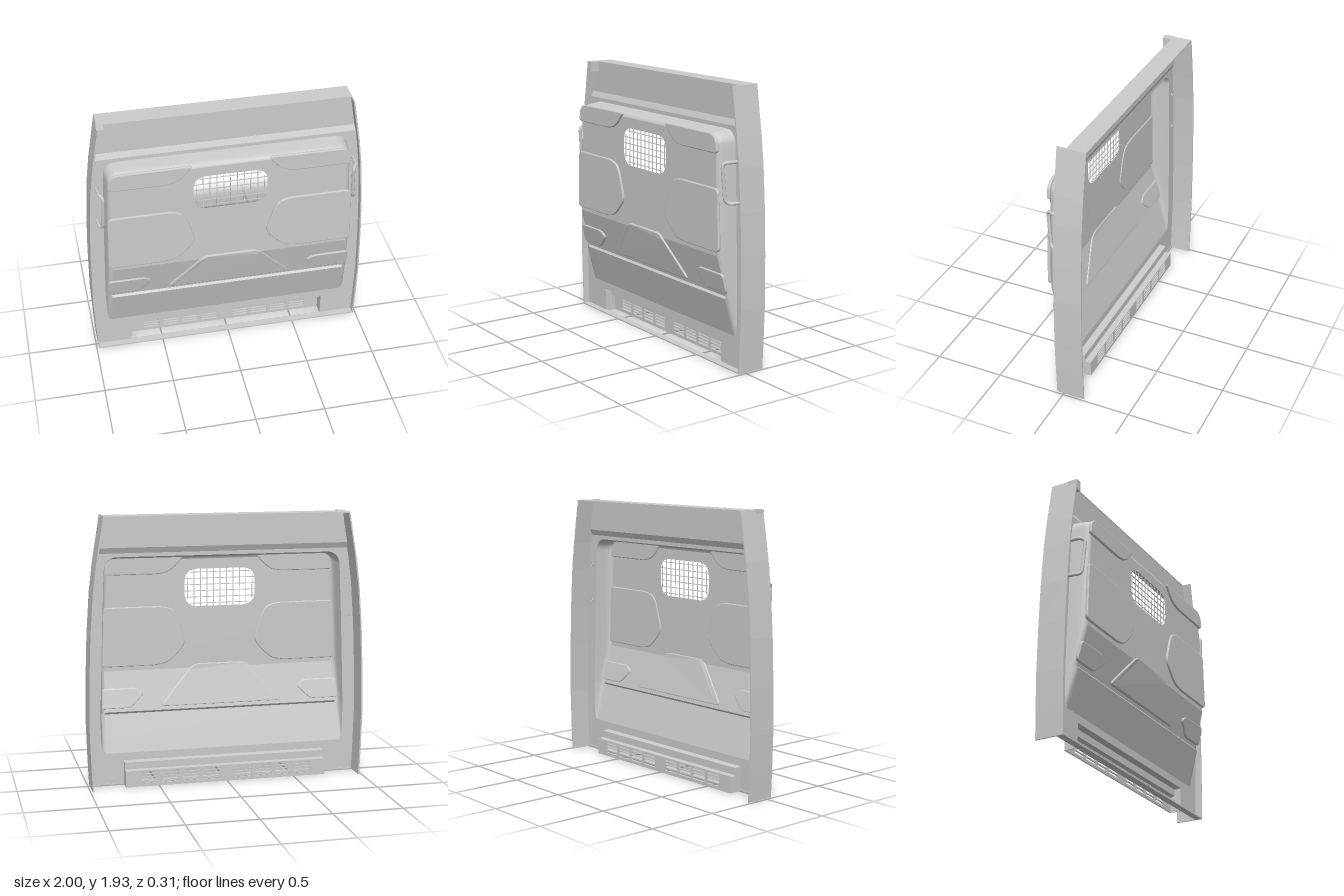
import * as THREE from 'three';

const mat = new THREE.MeshStandardMaterial({ color: 0xcccccc, side: THREE.DoubleSide });
const BASE = 0.005, FACE = 0.138, BACK = -0.153, FRONT = 0.052;

// Piecewise-linear lookup in a list of [y, value]
function lookup(table, y) {
  if (y <= table[0][0]) return table[0][1];
  for (let i = 1; i < table.length; i++) {
    const [y0, v0] = table[i - 1], [y1, v1] = table[i];
    if (y <= y1) return v0 + (v1 - v0) * (y - y0) / (y1 - y0);
  }
  return table[table.length - 1][1];
}

// Half width of the whole panel, half width of the pressing, depth of the pressing
const OUTER = [[0, .985], [.2, .993], [.45, 1], [.8, .994], [1.1, .982], [1.4, .96], [1.6, .935], [1.75, .91], [1.93, .88]];
const PRESS = [[.23, .88], [.26, .893], [.32, .9], [.5, .9], [.515, .9], [.8, .89], [1.2, .875], [1.5, .862]];
const DEPTH = [[.23, BASE], [.5, .08], [.515, .068], [.8, FACE]];
const outer = y => lookup(OUTER, y);
const depth = y => lookup(DEPTH, y);

const v2 = ([x, y]) => new THREE.Vector2(x, y);
const mirrored = pts => pts.map(([x, y]) => [-x, y]).reverse();

function add(group, name, geometry, x = 0, y = 0, z = 0) {
  const m = new THREE.Mesh(geometry, mat);
  m.name = name;
  m.position.set(x, y, z);
  group.add(m);
  return m;
}
const box = (g, name, w, h, d, x, y, z) => add(g, name, new THREE.BoxGeometry(w, h, d), x, y, z);

// Surface through rows of points with equal counts
function loft(rows, smooth) {
  const n = rows[0].length, index = [];
  for (let r = 0; r < rows.length - 1; r++)
    for (let i = 0; i < n - 1; i++) {
      const a = r * n + i, b = a + n;
      index.push(a, a + 1, b, a + 1, b + 1, b);
    }
  let g = new THREE.BufferGeometry();
  g.setAttribute('position', new THREE.Float32BufferAttribute(rows.flat(2), 3));
  g.setIndex(index);
  if (!smooth) g = g.toNonIndexed();
  g.computeVertexNormals();
  return g;
}

// Polygon with rounded corners
function rounded(points, r, Type = THREE.Shape) {
  const p = points.map(v2), s = new Type();
  p.forEach((c, i) => {
    const toward = q => c.clone().add(q.clone().sub(c).setLength(Math.min(r, q.distanceTo(c) * 0.48)));
    const a = toward(p[(i + p.length - 1) % p.length]), b = toward(p[(i + 1) % p.length]);
    if (i) s.lineTo(a.x, a.y); else s.moveTo(a.x, a.y);
    s.quadraticCurveTo(c.x, c.y, b.x, b.y);
  });
  s.closePath();
  return s;
}
const rect = (x0, y0, x1, y1) => [[x0, y0], [x1, y0], [x1, y1], [x0, y1]];

// Right half of the pressing outline, bottom to top, moved inwards by d
function pressHalf(d) {
  const pts = PRESS.map(([y, w]) => [w - d, y]);
  const r = 0.09 - d;
  for (let i = 0; i <= 8; i++) {
    const a = i / 8 * Math.PI / 2;
    pts.push([0.769 + r * Math.cos(a), 1.543 + r * Math.sin(a)]);
  }
  return pts;
}
const pressOutline = d => { const h = pressHalf(d); return [...h, ...mirrored(h)]; };

// Low raised pad lying on the pressing
function pad(group, name, points, r) {
  const g = new THREE.ExtrudeGeometry(rounded(points, r), {
    depth: 0.01, bevelThickness: 0.006, bevelSize: 0.007, bevelOffset: -0.007, bevelSegments: 2, curveSegments: 6
  });
  const p = g.attributes.position;
  for (let i = 0; i < p.count; i++) p.setZ(i, p.getZ(i) - 0.001 + depth(p.getY(i)));
  g.computeVertexNormals();
  add(group, name, g);
}

export function createModel() {
  const model = new THREE.Group();
  model.name = 'partitionPanel';

  // Flat surround with openings for the pressing and the vent recess
  const sideYs = [0, ...OUTER.map(o => o[0]).filter(y => y > 0 && y < 1.66), 1.66];
  const edge = sideYs.map(y => [outer(y) - .004, y]);
  const surround = new THREE.Shape([...edge, ...mirrored(edge),
    [-.735, 0], [-.735, .175], [.735, .175], [.735, 0]].map(v2));
  surround.holes.push(new THREE.Path(pressOutline(0).map(v2)));
  add(model, 'surround', new THREE.ShapeGeometry(surround), 0, 0, BASE);

  // Set-back upper panel with its sloping step
  add(model, 'upperPanel', loft([[1.66, BASE], [1.7, -.014], [1.75, -.014], [1.93, -.014]]
    .map(([y, z]) => [[-outer(y) + .004, y, z], [outer(y) - .004, y, z]])));

  // Pressing: rounded rim, flat face with window, sloping lower faces
  const pressing = new THREE.Group();
  pressing.name = 'pressing';
  model.add(pressing);
  const rim = [[0, 0], [.006, .4], [.01, .7], [.016, .86], [.026, .96], [.04, 1]].map(([d, h]) =>
    pressOutline(d).map(([x, y]) => [x, y, BASE + (depth(y) - BASE) * h]));
  add(pressing, 'pressingRim', loft(rim, true));
  const face = new THREE.Shape(pressOutline(.04).filter(p => p[1] >= .8).map(v2));
  face.holes.push(rounded(rect(-.26, 1.25, .26, 1.52), .1, THREE.Path));
  add(pressing, 'pressingFace', new THREE.ShapeGeometry(face), 0, 0, FACE);
  add(pressing, 'lowerSlope', loft(PRESS.filter(p => p[0] <= .8).map(([y, w]) =>
    [[-w + .04, y, depth(y)], [w - .04, y, depth(y)]])));

  // Raised pads
  const upper = [[.26, 1.622], [.33, 1.54], [.38, 1.505], [.45, 1.49], [.85, 1.49],
    ...pressHalf(.014).filter(p => p[1] > 1.53)];
  const middle = [[.47, .83], [.88, .83], [.862, 1.26], [.43, 1.26], [.35, 1.24], [.31, 1.18], [.255, 1], [.28, .95], [.38, .85]];
  const lower = [[.67, .54], [.888, .54], [.884, .68], [.62, .68], [.565, .64]];
  for (const [side, s] of [['left', 1], ['right', -1]]) {
    const flip = pts => s > 0 ? pts : mirrored(pts);
    pad(pressing, side + 'UpperPad', flip(upper), .03);
    pad(pressing, side + 'MiddlePad', flip(middle), .04);
    pad(pressing, side + 'LowerPad', flip(lower), .03);
  }
  pad(pressing, 'centrePad', [[-.46, .54], [.46, .54], [.2, .83], [-.2, .83]], .05);

  // Window grille
  const grille = new THREE.Group();
  grille.name = 'windowGrille';
  model.add(grille);
  for (let i = 0; i < 11; i++) {
    const x = -.24 + i * .048, h = Math.abs(x) > .22 ? .17 : .27;
    box(grille, 'verticalWire', .005, h, .005, x, 1.385, .134);
  }
  for (let i = 0; i < 6; i++) {
    const w = i === 0 || i === 5 ? .44 : .52;
    box(grille, 'horizontalWire', w, .005, .005, 0, 1.272 + i * .045, .134);
  }

  // Side flanges and grab handles
  for (const [side, s] of [['left', 1], ['right', -1]]) {
    const wall = [...OUTER.map(([y, w]) => [s * w, y]), ...OUTER.map(([y, w]) => [s * (w - .01), y]).reverse()];
    add(model, side + 'Flange', new THREE.ExtrudeGeometry(new THREE.Shape(wall.map(v2)),
      { depth: FRONT - BACK, bevelEnabled: false }), 0, 0, BACK);

    const path = new THREE.CurvePath();
    const P = (x, y, z) => new THREE.Vector3(s * x, y, z);
    const k = [P(.912, 1.435, 0), P(.905, 1.435, .09), P(.88, 1.435, .128), P(.881, 1.4, .126),
      P(.889, 1.2, .112), P(.892, 1.16, .106), P(.915, 1.16, .07), P(.922, 1.16, 0)];
    path.add(new THREE.LineCurve3(k[0], k[1]));
    path.add(new THREE.QuadraticBezierCurve3(k[1], k[2], k[3]));
    path.add(new THREE.LineCurve3(k[3], k[4]));
    path.add(new THREE.QuadraticBezierCurve3(k[4], k[5], k[6]));
    path.add(new THREE.LineCurve3(k[6], k[7]));
    add(model, side + 'Handle', new THREE.TubeGeometry(path, 48, .012, 10));
  }

  // Top wall, bottom lip and the corner block
  box(model, 'topWall', 1.76, .01, -.012 - BACK, 0, 1.925, (BACK - .012) / 2);
  box(model, 'bottomLip', 1.965, .01, FRONT, 0, .005, FRONT / 2);
  box(model, 'cornerBlock', .05, .075, .07, -.86, 1.8925, .017);

  // Vent recess: stepped roof, end walls and slotted back
  const vent = new THREE.Group();
  vent.name = 'ventRecess';
  model.add(vent);
  add(vent, 'recessRoof', loft([[.115, -.085], [.12, -.045], [.17, -.045], [.175, BASE]]
    .map(([y, z]) => [[-.735, y, z], [.735, y, z]])));
  for (const s of [-1, 1]) {
    box(vent, 'recessEnd', .008, .17, .05, s * .735, .085, -.02);
    box(vent, 'recessEndLower', .008, .115, .045, s * .735, .0575, -.0645);
  }
  const back = new THREE.Shape(rect(-.735, 0, .735, .118).map(v2));
  for (const s of [-1, 1])
    for (let c = 0; c < 4; c++)
      for (let r = 0; r < 4; r++) {
        const x = s * (.12 + c * .1485), y = .031 + r * .0235;
        back.holes.push(rounded(rect(x - .061, y - .008, x + .061, y + .008), .007, THREE.Path));
      }
  add(vent, 'slottedBack', new THREE.ExtrudeGeometry(back, { depth: .01, bevelEnabled: false, curveSegments: 3 }), 0, 0, -.09);

  return model;
}
